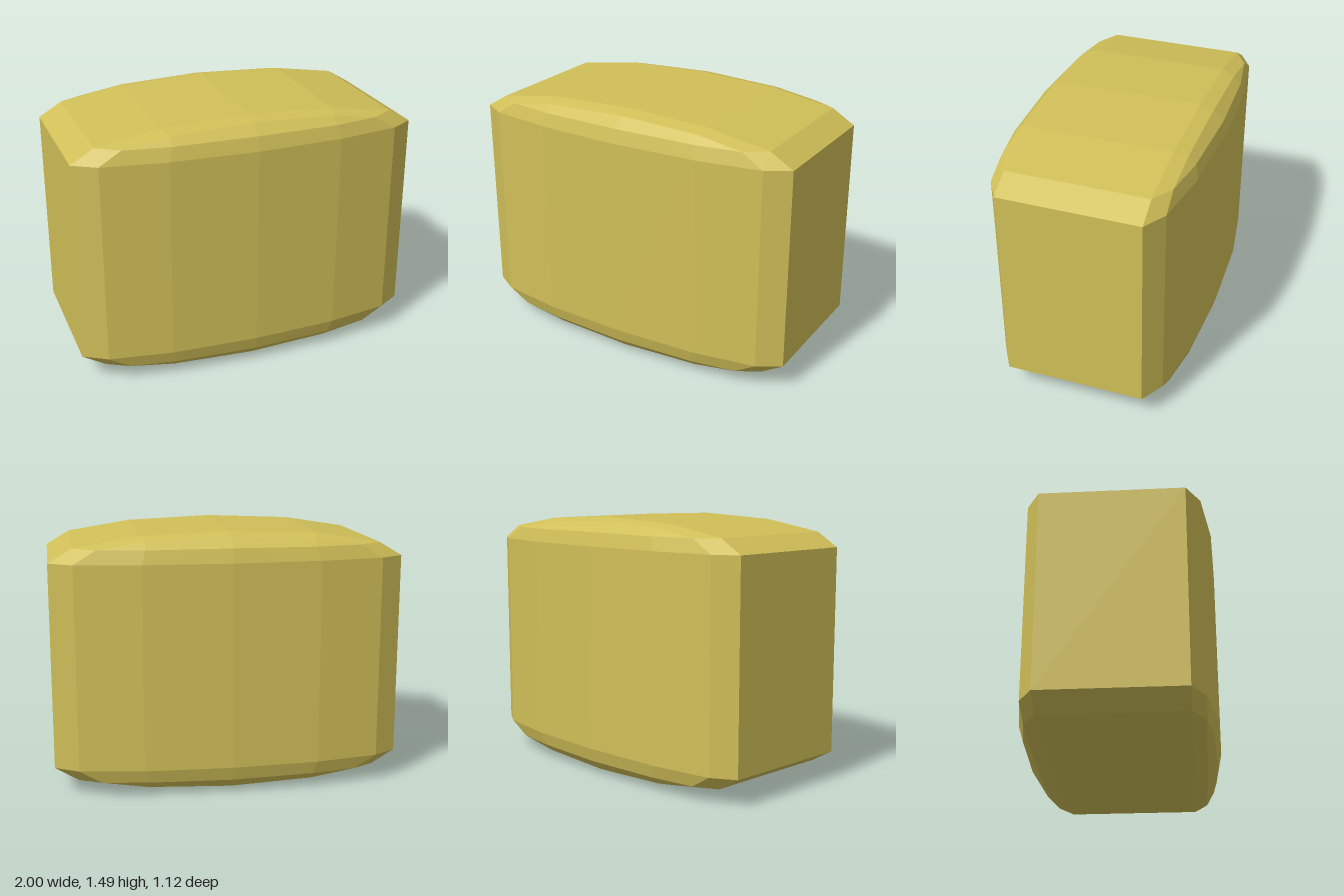
import * as THREE from 'three';
import { ConvexGeometry } from 'three/addons/geometries/ConvexGeometry.js';

// One bevelled corner on the unit sphere: poles, 30 degree edge points, inner triangle
function cornerDirections() {
  const s = 0.5, c = Math.cos(Math.PI / 6), a = 0.74, b = 0.476;
  const pattern = [[1, 0, 0], [c, s, 0], [c, 0, s], [a, b, b]];
  const points = [];
  for (let shift = 0; shift < 3; shift++) {
    for (const p of pattern) points.push([0, 1, 2].map((i) => p[(i + shift) % 3]));
  }
  return points;
}

export function createModel() {
  const group = new THREE.Group();
  group.name = 'bevelledBlock';

  // Inner box half sizes, and how far the bevel reaches on each axis
  const core = [0, 0.585, 0.4];
  const bevel = [1, 0.16, 0.16];
  const midHeight = 0.745;

  // Mirror the corner into all eight octants, skipping points shared by two octants
  const points = [];
  const seen = new Set();
  for (const sx of [-1, 1]) for (const sy of [-1, 1]) for (const sz of [-1, 1]) {
    const signs = [sx, sy, sz];
    for (const d of cornerDirections()) {
      const [x, y, z] = d.map((v, i) => signs[i] * (core[i] + bevel[i] * v));
      const key = [x, y, z].map((v) => Math.round(v * 10000)).join(',');
      if (seen.has(key)) continue;
      seen.add(key);
      points.push(new THREE.Vector3(x, y + midHeight, z));
    }
  }

  // Flat-faceted skin around all corners
  const material = new THREE.MeshStandardMaterial({ color: 0xd0bf58, flatShading: true });
  const body = new THREE.Mesh(new ConvexGeometry(points), material);
  body.name = 'body';
  group.add(body);
  return group;
}
